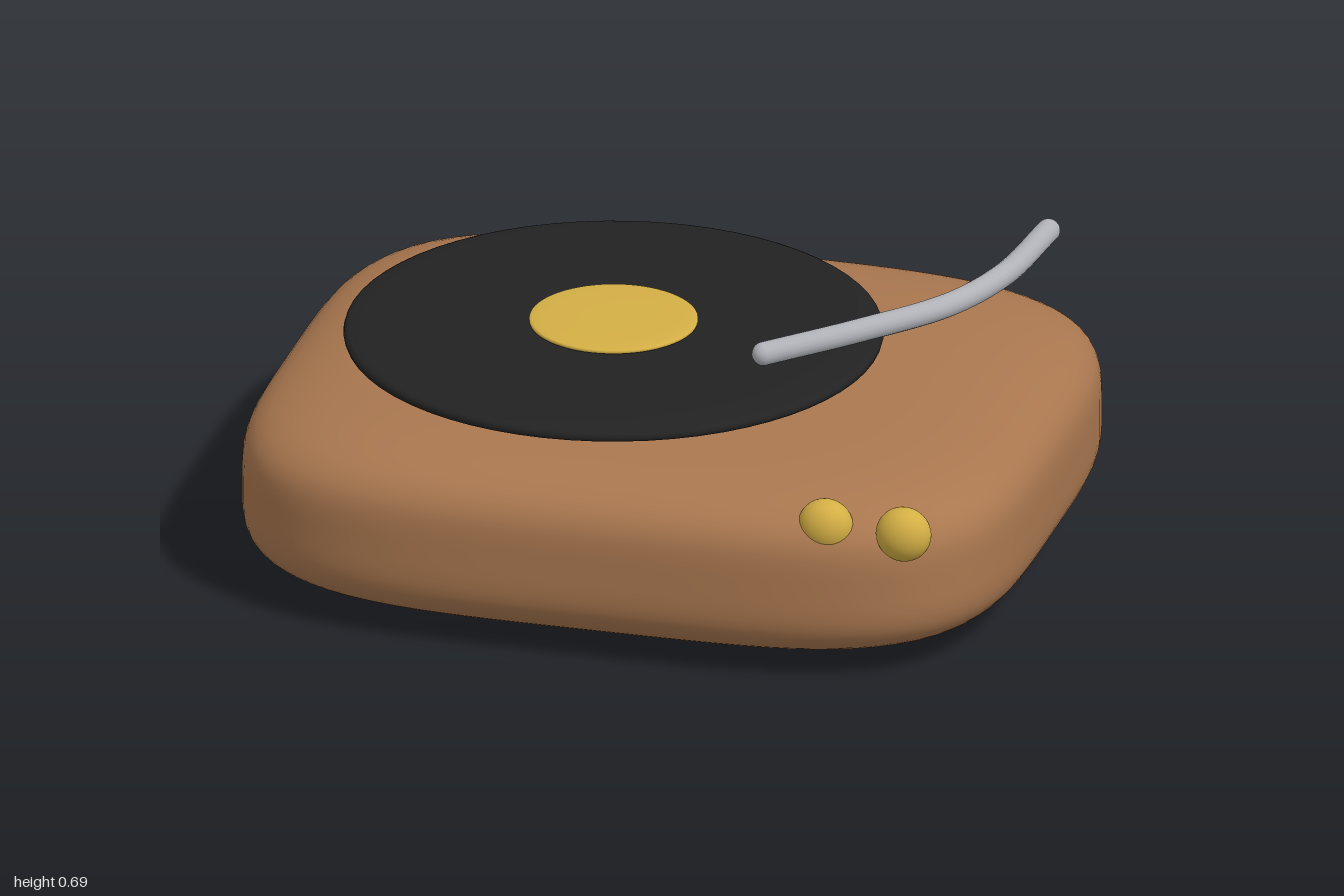
import * as THREE from 'three';

const material = (color) => new THREE.MeshStandardMaterial({ color });

// Cushion-shaped block: a subdivided box pushed onto a fourth-power superellipsoid.
function cushionGeometry(rx, ry, rz) {
  const geo = new THREE.BoxGeometry(2, 2, 2, 28, 28, 28);
  const pos = geo.attributes.position;
  const p = new THREE.Vector3();
  for (let i = 0; i < pos.count; i++) {
    p.fromBufferAttribute(pos, i);
    p.divideScalar((p.x ** 4 + p.y ** 4 + p.z ** 4) ** 0.25);
    pos.setXYZ(i, p.x * rx, p.y * ry, p.z * rz);
    p.set(p.x ** 3 / rx, p.y ** 3 / ry, p.z ** 3 / rz).normalize();
    geo.attributes.normal.setXYZ(i, p.x, p.y, p.z);
  }
  return geo;
}

// Disc with a softly tapered rim.
function discGeometry(radius, half) {
  const points = [];
  for (let i = 0; i <= 24; i++) {
    const a = -Math.PI / 2 + (i / 24) * Math.PI;
    const c = Math.max(0, Math.cos(a)), s = Math.sin(a);
    points.push(new THREE.Vector2(radius * Math.sqrt(c), half * Math.sign(s) * Math.sqrt(Math.abs(s))));
  }
  return new THREE.LatheGeometry(points, 64);
}

export function createModel() {
  const model = new THREE.Group();
  const wood = material(0xa9774f), black = material(0x222222);
  const gold = material(0xd4af45), silver = material(0xb0b2b8);

  function add(name, geo, mat, x = 0, y = 0, z = 0, parent = model) {
    const mesh = new THREE.Mesh(geo, mat);
    mesh.name = name;
    mesh.position.set(x, y, z);
    parent.add(mesh);
    return mesh;
  }

  // Wooden body
  add('body', cushionGeometry(1, 0.25, 0.85), wood, 0, 0.25, 0);

  // Record and its centre label
  add('record', discGeometry(0.67, 0.025), black, -0.15, 0.53, 0);
  add('label', discGeometry(0.21, 0.01), gold, -0.15, 0.563, 0);

  // Front knobs
  for (const x of [0.6, 0.8]) {
    add('knob', new THREE.SphereGeometry(0.07, 32, 20), gold, x, 0.405, 0.752).scale.z = 0.8;
  }

  // Bent tone arm with rounded ends
  const arm = new THREE.Group();
  arm.name = 'toneArm';
  model.add(arm);
  const path = new THREE.CatmullRomCurve3([
    [0.8, 0.655, -0.61], [0.767, 0.658, -0.31], [0.68, 0.65, -0.11],
    [0.5, 0.63, 0.055], [0.29, 0.603, 0.2],
  ].map((p) => new THREE.Vector3(...p)));
  add('armTube', new THREE.TubeGeometry(path, 48, 0.03, 16), silver, 0, 0, 0, arm);
  for (const t of [0, 1]) {
    const e = path.getPoint(t);
    add('armEnd', new THREE.SphereGeometry(0.03, 16, 12), silver, e.x, e.y, e.z, arm);
  }

  return model;
}
